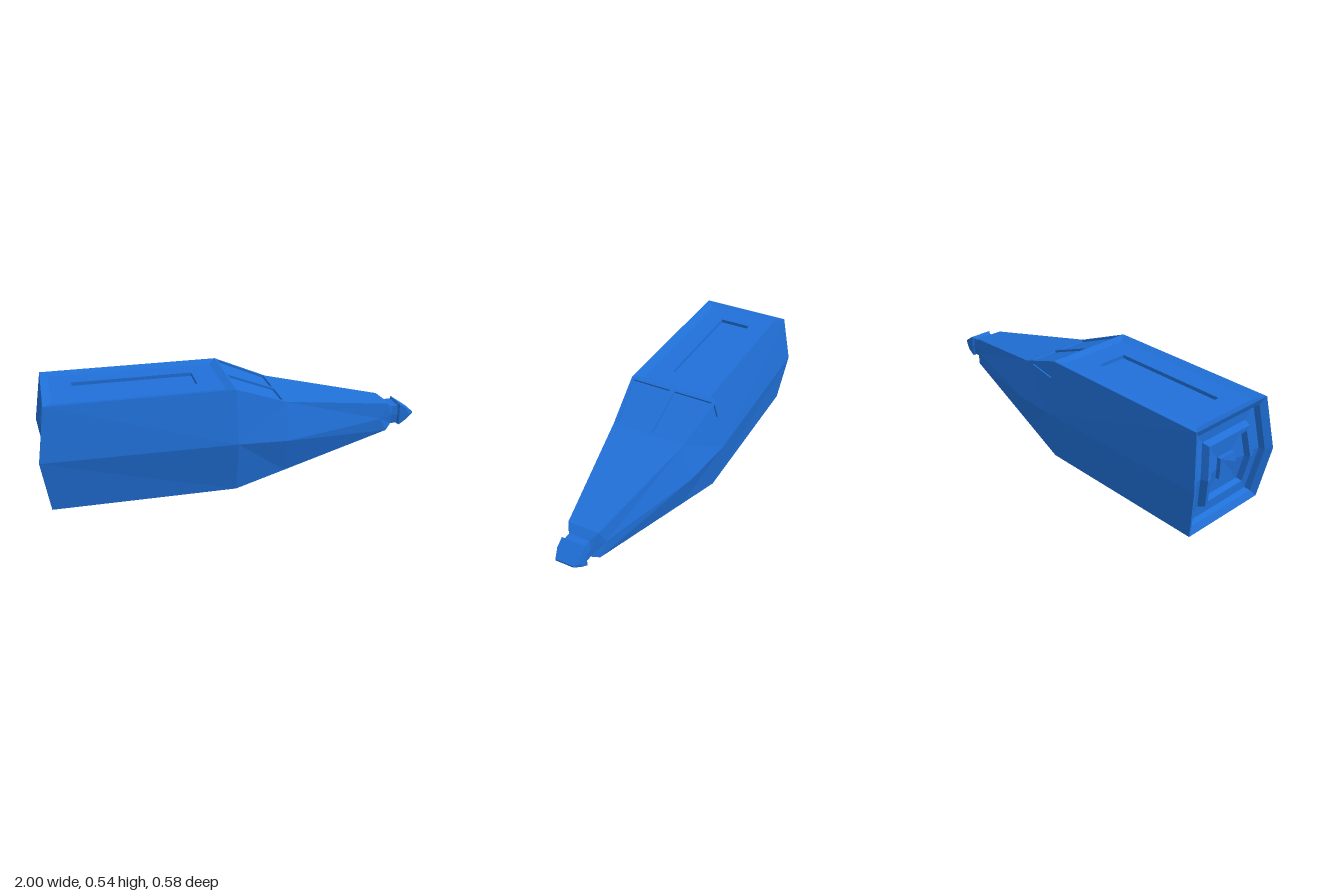
import * as THREE from 'three';

const V = (x, y, z) => new THREE.Vector3(x, y, z);
const mix = (pts, w) => pts.reduce((s, p, i) => s.addScaledVector(p, w[i]), V(0, 0, 0));

// Six-point section, counter-clockwise seen from +x, starting top +z
function ring(xEdge, xMid, yTop, zTop, yMid, zMid, yBot, zBot) {
  return [
    V(xEdge, yTop, zTop), V(xMid, yMid, zMid), V(xEdge, yBot, zBot),
    V(xEdge, yBot, -zBot), V(xMid, yMid, -zMid), V(xEdge, yTop, -zTop),
  ];
}
// Concentric section on the stern
const sternRing = (s, x) =>
  ring(x, x - 0.04 * s, 0.27 + 0.27 * s, 0.24 * s, 0.27, 0.277 * s, 0.27 - 0.27 * s, 0.24 * s);

// Collects flat faces into one geometry
class Faces {
  constructor() { this.pos = []; }
  poly(...p) {
    for (let i = 1; i < p.length - 1; i++) {
      for (const q of [p[0], p[i], p[i + 1]]) this.pos.push(q.x, q.y, q.z);
    }
  }
  loft(a, b, skip = []) {
    for (let i = 0; i < 6; i++) {
      if (skip.includes(i)) continue;
      const j = (i + 1) % 6;
      if (i < 3) this.poly(a[i], a[j], b[j], b[i]);
      else this.poly(a[j], b[j], b[i], a[i]);
    }
  }
  // Planar panel with recessed openings; outer and holes counter-clockwise
  panel(outer, holes, depth) {
    const u = outer[1].clone().sub(outer[0]).normalize();
    const n = u.clone().cross(outer[2].clone().sub(outer[0])).normalize();
    const v = n.clone().cross(u);
    const flat = (p) => {
      const d = p.clone().sub(outer[0]);
      return new THREE.Vector2(d.dot(u), d.dot(v));
    };
    const all = [outer, ...holes].flat();
    const tris = THREE.ShapeUtils.triangulateShape(outer.map(flat), holes.map((h) => h.map(flat)));
    for (const [i, j, k] of tris) {
      const [a, b, c] = [all[i], all[j], all[k]];
      const up = b.clone().sub(a).cross(c.clone().sub(a)).dot(n) > 0;
      if (up) this.poly(a, b, c);
      else this.poly(a, c, b);
    }
    for (const h of holes) {
      const floor = h.map((p) => p.clone().addScaledVector(n, -depth));
      h.forEach((p, i) => {
        const j = (i + 1) % h.length;
        this.poly(p, h[j], floor[j], floor[i]);
      });
      this.poly(...floor);
    }
  }
  mesh(name, material) {
    const g = new THREE.BufferGeometry();
    g.setAttribute('position', new THREE.Float32BufferAttribute(this.pos, 3));
    g.computeVertexNormals();
    const m = new THREE.Mesh(g, material);
    m.name = name;
    return m;
  }
}

export function createModel() {
  const group = new THREE.Group();
  group.name = 'hull';
  const mat = new THREE.MeshStandardMaterial({ color: 0x2070d8, flatShading: true, side: THREE.DoubleSide });

  const rear = ring(-0.96, -1, 0.54, 0.24, 0.27, 0.277, 0, 0.24);
  const shoulder = ring(-0.04, -0.04, 0.54, 0.24, 0.27, 0.29, 0, 0.24);
  const brow = ring(0.23, 0.23, 0.433, 0.195, 0.24, 0.245, 0.05, 0.19);
  const snout = ring(0.835, 0.795, 0.318, 0.08, 0.24, 0.095, 0.164, 0.08);

  // Stern: stepped concentric hexagons
  const stern = new Faces();
  const steps = [
    [0.2, -0.95], [0.2, -0.93], [0.46, -0.93], [0.5, -0.955], [0.58, -0.955],
    [0.62, -0.92], [0.83, -0.92], [0.87, -0.945],
  ].map(([s, x]) => sternRing(s, x));
  steps.push(rear);
  stern.poly(...[...steps[0]].reverse());
  for (let i = 0; i < steps.length - 1; i++) stern.loft(steps[i], steps[i + 1]);
  group.add(stern.mesh('stern', mat));

  // Body sides and belly
  const body = new Faces();
  body.loft(rear, shoulder, [5]);
  body.loft(shoulder, brow, [0, 4, 5]);
  body.loft(brow, snout);
  group.add(body.mesh('body', mat));

  // Sunken roof with a long slot
  const roof = new Faces();
  const rect = (x0, x1, z, y) => [V(x0, y, z), V(x1, y, z), V(x1, y, -z), V(x0, y, -z)];
  const rim = rect(-0.96, -0.04, 0.24, 0.54);
  const tray = rect(-0.92, -0.08, 0.19, 0.528);
  rim.forEach((p, i) => {
    const j = (i + 1) % 4;
    roof.poly(p, rim[j], tray[j], tray[i]);
  });
  roof.panel(tray, [rect(-0.81, -0.2, 0.083, 0.528)], 0.018);
  group.add(roof.mesh('roof', mat));

  // Windshield with two recessed panes
  const shield = new Faces();
  const onShield = (x, z) => V(x, 0.54 - 0.3963 * (x + 0.04), z);
  const paneL = [onShield(-0.028, 0.222), onShield(0.216, 0.18), onShield(0.216, 0.014), onShield(-0.028, 0.014)];
  const paneR = paneL.map((p) => V(p.x, p.y, -p.z)).reverse();
  shield.panel([shoulder[0], brow[0], brow[5], shoulder[5]], [paneL, paneR], 0.011);
  group.add(shield.mesh('windshield', mat));

  // Cheeks with triangular side windows
  for (const [name, t, m] of [['leftCheek', 0, 1], ['rightCheek', 5, 4]]) {
    const cheek = new Faces();
    const A = shoulder[t], B = shoulder[m], C = brow[t], D = brow[m];
    const win = [[0.93, 0.02, 0.05], [0.66, 0.32, 0.02], [0.18, 0.07, 0.75]].map((w) => mix([A, B, C], w));
    if (t === 0) {
      cheek.panel([A, B, C], [win], 0.009);
      cheek.poly(B, D, C);
    } else {
      cheek.panel([A, C, B], [win.reverse()], 0.009);
      cheek.poly(B, C, D);
    }
    group.add(cheek.mesh(name, mat));
  }

  // Nose: neck, flared collar and wedge tip
  const nose = new Faces();
  const tip = [
    snout,
    ring(0.872, 0.872, 0.29, 0.053, 0.24, 0.058, 0.19, 0.053),
    ring(0.908, 0.908, 0.29, 0.053, 0.24, 0.058, 0.19, 0.053),
    ring(0.916, 0.916, 0.3, 0.063, 0.24, 0.065, 0.18, 0.063),
    ring(0.957, 0.97, 0.272, 0.063, 0.24, 0.063, 0.208, 0.063),
    ring(1, 1, 0.244, 0.047, 0.24, 0.047, 0.236, 0.047),
  ];
  for (let i = 0; i < tip.length - 1; i++) nose.loft(tip[i], tip[i + 1]);
  nose.poly(...tip[tip.length - 1]);
  group.add(nose.mesh('nose', mat));

  return group;
}
